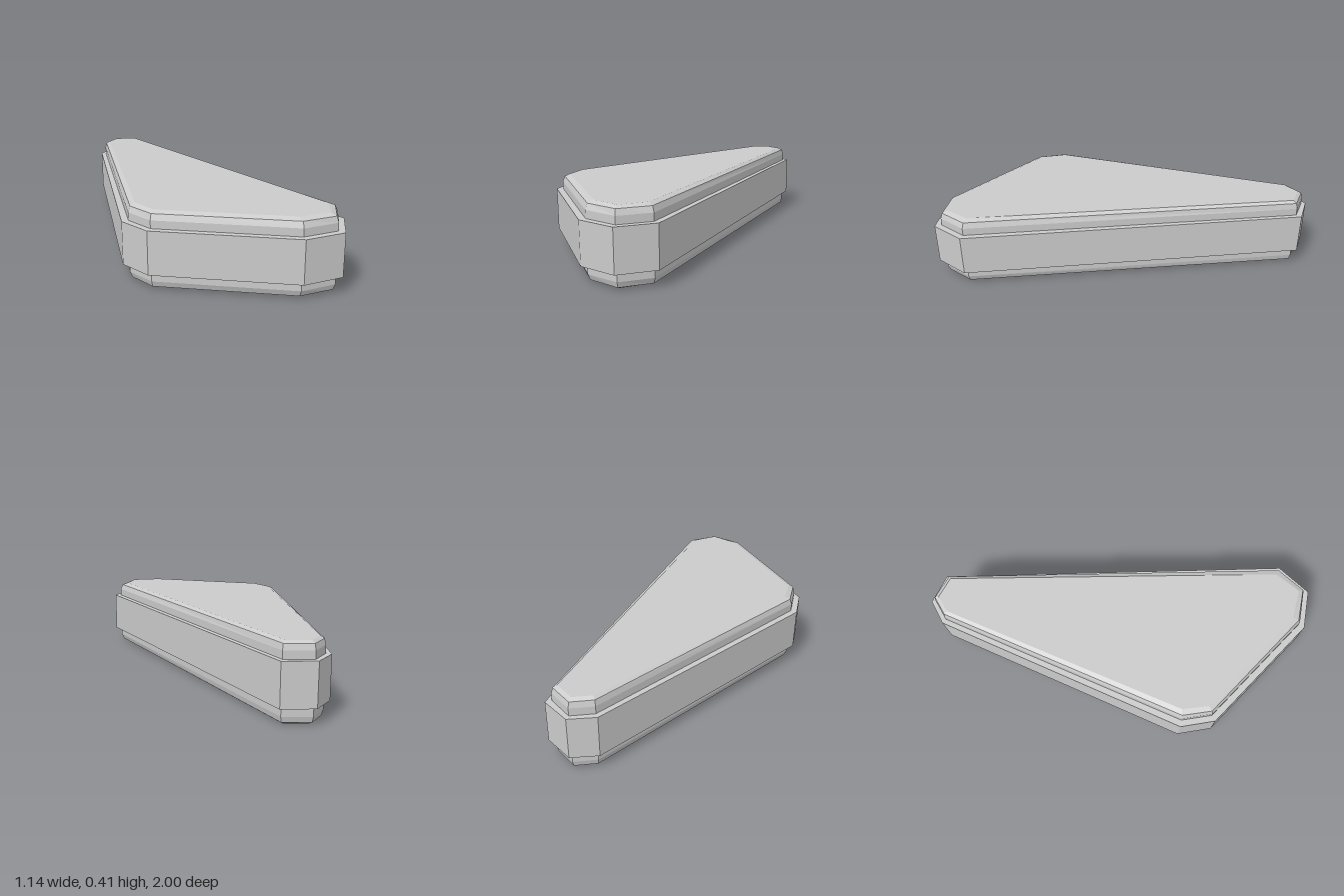
import * as THREE from 'three';

// Eight-cornered outlines as [x, z], clockwise seen from above
const bandOutline = [[-0.49, -1], [-0.315, -1], [0.57, 0.74], [0.5, 0.945],
  [0.285, 1], [-0.425, 0.75], [-0.535, 0.59], [-0.575, -0.88]];
const coverOutline = [[-0.478, -0.975], [-0.326, -0.967], [0.533, 0.74], [0.474, 0.915],
  [0.285, 0.963], [-0.405, 0.72], [-0.5, 0.58], [-0.547, -0.87]];
const faceOutline = [[-0.465, -0.945], [-0.34, -0.94], [0.485, 0.735], [0.443, 0.887],
  [0.28, 0.915], [-0.385, 0.685], [-0.462, 0.56], [-0.52, -0.86]];

// Ring of points at height y, blended from the cover edge to the flat face
const coverRing = (y, t) => coverOutline.map(([x, z], i) => [
  x + (faceOutline[i][0] - x) * t, y, z + (faceOutline[i][1] - z) * t]);

// Solid from rings listed bottom to top, with flat end caps
function loft(name, rings, material) {
  const pos = [];
  const tri = (a, b, c) => pos.push(...a, ...b, ...c);
  const n = rings[0].length;
  for (let r = 0; r < rings.length - 1; r++) {
    const lo = rings[r], hi = rings[r + 1];
    for (let i = 0; i < n; i++) {
      const j = (i + 1) % n;
      tri(lo[i], hi[j], lo[j]);
      tri(lo[i], hi[i], hi[j]);
    }
  }
  const bottom = rings[0], top = rings[rings.length - 1];
  for (let i = 1; i < n - 1; i++) {
    tri(bottom[0], bottom[i], bottom[i + 1]);
    tri(top[0], top[i + 1], top[i]);
  }
  const geometry = new THREE.BufferGeometry();
  geometry.setAttribute('position', new THREE.Float32BufferAttribute(pos, 3));
  geometry.computeVertexNormals();
  const mesh = new THREE.Mesh(geometry, material);
  mesh.name = name;
  return mesh;
}

export function createModel() {
  const group = new THREE.Group();
  group.name = 'taperedCase';
  const material = new THREE.MeshStandardMaterial({ color: 0xcccccc, flatShading: true });

  // Wide middle band
  const bandRings = [0.09, 0.32].map(y => bandOutline.map(([x, z]) => [x, y, z]));
  group.add(loft('middleBand', bandRings, material));

  // Bevelled covers, the lower one mirrored from the upper
  const profile = [[0.32, 0], [0.362, 0], [0.393, 0.28], [0.405, 1]];
  const upper = profile.map(([y, t]) => coverRing(y, t));
  const lower = profile.map(([y, t]) => coverRing(0.405 - y + (y === 0.32 ? 0.005 : 0), t)).reverse();
  group.add(loft('topCover', upper, material));
  group.add(loft('bottomCover', lower, material));

  return group;
}
